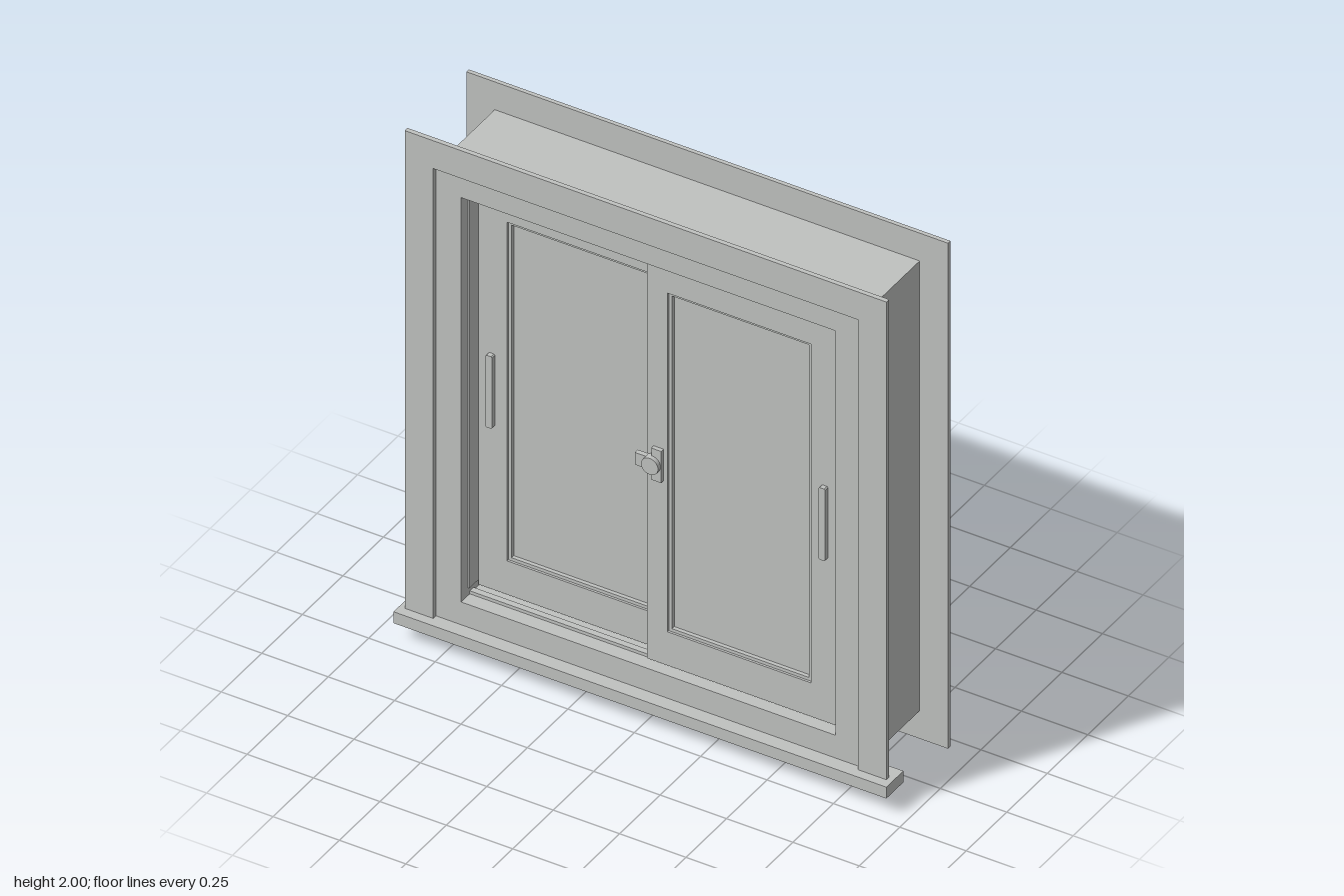
import * as THREE from 'three';

const paint = new THREE.MeshStandardMaterial({ color: 0xc0c2c0 });
paint.name = 'light grey paint';

function add(parent, name, geometry) {
  const mesh = new THREE.Mesh(geometry, paint);
  mesh.name = name;
  parent.add(mesh);
  return mesh;
}

// Box given by its minimum and maximum on each axis
function box(parent, name, x0, x1, y0, y1, z0, z1) {
  const mesh = add(parent, name, new THREE.BoxGeometry(x1 - x0, y1 - y0, z1 - z0));
  mesh.position.set((x0 + x1) / 2, (y0 + y1) / 2, (z0 + z1) / 2);
  return mesh;
}

// Flat outline extruded from z0 to z1
function plate(parent, name, points, z0, z1) {
  const shape = new THREE.Shape(points.map(([x, y]) => new THREE.Vector2(x, y)));
  const mesh = add(parent, name, new THREE.ExtrudeGeometry(shape, { depth: z1 - z0, bevelEnabled: false }));
  mesh.position.z = z0;
  return mesh;
}

// Rectangular ring with an even border or a separate inner rectangle
function ring(parent, name, [ox0, ox1, oy0, oy1], [ix0, ix1, iy0, iy1], z0, z1) {
  const shape = new THREE.Shape([
    new THREE.Vector2(ox0, oy0), new THREE.Vector2(ox1, oy0),
    new THREE.Vector2(ox1, oy1), new THREE.Vector2(ox0, oy1)]);
  shape.holes.push(new THREE.Path([
    new THREE.Vector2(ix0, iy0), new THREE.Vector2(ix0, iy1),
    new THREE.Vector2(ix1, iy1), new THREE.Vector2(ix1, iy0)]));
  const mesh = add(parent, name, new THREE.ExtrudeGeometry(shape, { depth: z1 - z0, bevelEnabled: false }));
  mesh.position.z = z0;
}

// Sliding sash: side is +1 for the left half (+x), -1 for the right half
function makeSash(name, side, z0, z1) {
  const sash = new THREE.Group();
  sash.name = name;
  const span = (a, b) => (side > 0 ? [a, b] : [-b, -a]);
  const outer = [...span(-0.025, 0.7), 0.212, 1.793];
  const hole = [...span(0.052, 0.592), 0.345, 1.685];
  const b = 0.012;
  const inner = [hole[0] + b, hole[1] - b, hole[2] + b, hole[3] - b];
  ring(sash, 'sashFrame', outer, hole, z0, z1);
  ring(sash, 'glazingBead', hole, inner, z0 + 0.008, z1 - 0.008);
  box(sash, 'pane', inner[0], inner[1], inner[2], inner[3], z0 + 0.022, z1 - 0.022);
  // Running rail below the sash
  box(sash, 'rail', -0.705, 0.705, 0.2, 0.212, z0 + 0.02, z1 - 0.02);
  return sash;
}

export function createModel() {
  const model = new THREE.Group();
  model.name = 'slidingWindow';

  // Deep box frame
  const frame = new THREE.Group();
  frame.name = 'boxFrame';
  const back = -0.2, front = 0.163;
  for (const s of [-1, 1]) {
    const [a, b] = s > 0 ? [0.705, 0.8] : [-0.8, -0.705];
    box(frame, 'jamb', a, b, 0.11, 1.89, back, front);
    const [c, d] = s > 0 ? [0.7, 0.705] : [-0.705, -0.7];
    box(frame, 'jambSeal', c, d, 0.23, 1.765, -0.15, 0.12);
  }
  box(frame, 'head', -0.705, 0.705, 1.8, 1.89, back, front);
  box(frame, 'sill', -0.705, 0.705, 0.11, 0.2, back, front);
  model.add(frame);

  // Mitred casings: three sides in front, four at the back
  for (const [name, z0, z1, isBack] of [['frontCasing', front, 0.18, false], ['backCasing', -0.215, back, true]]) {
    const casing = new THREE.Group();
    casing.name = name;
    const o = 0.907, i = 0.8, foot = isBack ? 0 : 0.11;
    plate(casing, 'casingTop', [[-o, 2], [-i, 1.89], [i, 1.89], [o, 2]], z0, z1);
    for (const s of [-1, 1]) {
      plate(casing, 'casingSide', [[s * o, foot], [s * o, 2], [s * i, 1.89], [s * i, 0.11]], z0, z1);
    }
    if (isBack) plate(casing, 'casingBottom', [[-o, 0], [o, 0], [i, 0.11], [-i, 0.11]], z0, z1);
    model.add(casing);
  }

  // Projecting window board
  box(model, 'windowBoard', -0.928, 0.928, 0.065, 0.11, 0.11, 0.215);

  // Front and rear pairs of sliding sashes
  model.add(
    makeSash('frontLeftSash', 1, 0.067, 0.13),
    makeSash('frontRightSash', -1, 0.003, 0.065),
    makeSash('rearLeftSash', 1, -0.1, -0.037),
    makeSash('rearRightSash', -1, -0.163, -0.102));

  // Pull handles, one on each front sash
  for (const [x, z] of [[-0.65, 0.065], [0.644, 0.13]]) {
    const w = 0.0125, c = 0.004, y0 = 0.86, y1 = 1.145;
    const handle = plate(model, 'pullHandle', [
      [-w + c, y0], [w - c, y0], [w, y0 + c], [w, y1 - c],
      [w - c, y1], [-w + c, y1], [-w, y1 - c], [-w, y0 + c]], z, z + 0.018);
    handle.position.x = x;
  }

  // Centre latch
  const latch = new THREE.Group();
  latch.name = 'latch';
  box(latch, 'latchPlate', 0, 0.037, 0.937, 1.062, 0.13, 0.145);
  box(latch, 'latchArm', -0.06, 0.005, 0.976, 1.024, 0.13, 0.148);
  const knob = add(latch, 'latchKnob', new THREE.CylinderGeometry(0.032, 0.032, 0.03, 32));
  knob.rotation.x = Math.PI / 2;
  knob.position.set(0.003, 1, 0.146);
  model.add(latch);

  return model;
}
